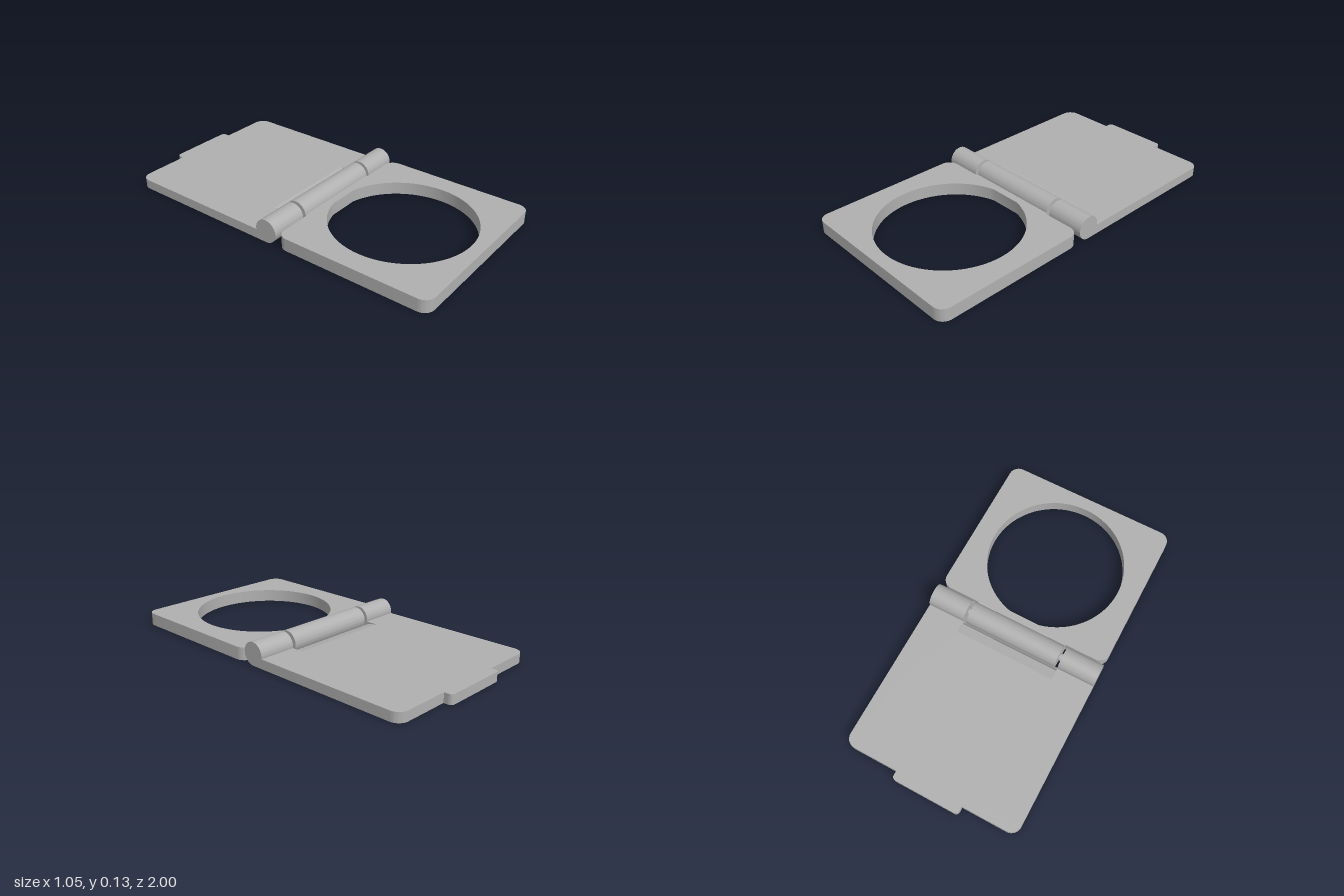
import * as THREE from 'three';
import { toCreasedNormals } from 'three/addons/utils/BufferGeometryUtils.js';

const W = 0.523;          // half width of both plates
const R = 0.0665;         // hinge barrel radius
const AXIS_Z = 0.025;     // hinge axis depth
const KNUCKLE = 0.28;     // half length of the middle knuckle
const NOTCH = 0.3;        // half width of the notch in the rear plate
const FRONT_H = 0.073;
const REAR_H = 0.055;

// Closed outline from [x, z, cornerRadius] points, drawn in the ground plane
function outline(points) {
  const shape = new THREE.Shape();
  const v = points.map(([x, z]) => new THREE.Vector2(x, -z));
  const n = v.length;
  points.forEach(([, , r = 0], i) => {
    const p = v[i];
    if (r === 0) {
      if (i === 0) shape.moveTo(p.x, p.y); else shape.lineTo(p.x, p.y);
      return;
    }
    const toPrev = v[(i + n - 1) % n].clone().sub(p).normalize();
    const toNext = v[(i + 1) % n].clone().sub(p).normalize();
    const a = p.clone().addScaledVector(toPrev, r);
    const c = p.clone().addScaledVector(toPrev, r).addScaledVector(toNext, r);
    const b = p.clone().addScaledVector(toNext, r);
    if (i === 0) shape.moveTo(a.x, a.y); else shape.lineTo(a.x, a.y);
    const start = Math.atan2(a.y - c.y, a.x - c.x);
    const end = Math.atan2(b.y - c.y, b.x - c.x);
    const clockwise = toPrev.cross(toNext) > 0;
    shape.absarc(c.x, c.y, r, start, end, clockwise);
  });
  shape.closePath();
  return shape;
}

function extrude(shape, depth) {
  return new THREE.ExtrudeGeometry(shape, { depth, bevelEnabled: false, curveSegments: 48 });
}

export function createModel() {
  const model = new THREE.Group();
  model.name = 'hingedPlates';
  const grey = new THREE.MeshStandardMaterial({ color: 0xb0b0b0 });
  grey.name = 'plain grey';

  function add(name, geometry, parent = model) {
    const mesh = new THREE.Mesh(toCreasedNormals(geometry, 0.5), grey);
    mesh.name = name;
    parent.add(mesh);
    return mesh;
  }

  // Barrel section along x between two positions
  function barrel(name, x0, x1, radius, parent) {
    const g = new THREE.CylinderGeometry(radius, radius, x1 - x0, 64);
    g.rotateZ(Math.PI / 2).translate((x0 + x1) / 2, R, AXIS_Z);
    return add(name, g, parent);
  }

  const frontLeaf = new THREE.Group();
  frontLeaf.name = 'frontLeaf';
  const rearLeaf = new THREE.Group();
  rearLeaf.name = 'rearLeaf';
  model.add(frontLeaf, rearLeaf);

  // Front plate, with the web reaching under the middle knuckle
  const front = outline([
    [-W, 1, 0.06], [W, 1, 0.06], [W, 0.1, 0.06], [KNUCKLE, 0.1],
    [KNUCKLE, AXIS_Z], [-KNUCKLE, AXIS_Z], [-KNUCKLE, 0.1], [-W, 0.1, 0.06],
  ]);
  // Round opening with a flat at the hinge side
  const holeR = 0.402, holeZ = 0.526, flatZ = 0.135;
  const flatAngle = Math.asin((holeZ - flatZ) / holeR);
  const hole = new THREE.Path();
  hole.absarc(0, -holeZ, holeR, Math.PI - flatAngle, Math.PI * 2 + flatAngle, false);
  hole.closePath();
  front.holes.push(hole);
  add('frontPlate', extrude(front, FRONT_H).rotateX(-Math.PI / 2), frontLeaf);
  barrel('middleKnuckle', -KNUCKLE, KNUCKLE, R, frontLeaf);

  // Rear plate with its finger tab, notched around the middle knuckle
  const notchZ = -0.112, backZ = -0.953;
  const rear = outline([
    [-W, AXIS_Z], [-NOTCH, AXIS_Z], [-NOTCH, notchZ], [NOTCH, notchZ],
    [NOTCH, AXIS_Z], [W, AXIS_Z], [W, backZ, 0.06], [0.2, backZ],
    [0.2, -1, 0.022], [-0.2, -1, 0.022], [-0.2, backZ], [-W, backZ, 0.06],
  ]);
  add('rearPlate', extrude(rear, REAR_H).rotateX(-Math.PI / 2), rearLeaf);

  // Sloped lip in the notch, hollowed to clear the knuckle
  const clear = 0.08, lipY = 0.043;
  const lip = new THREE.Shape();
  lip.moveTo(-notchZ, 0);
  lip.lineTo(-notchZ, REAR_H);
  for (let i = 0; i <= 8; i++) {
    const y = lipY * (1 - i / 8);
    lip.lineTo(-AXIS_Z + Math.sqrt(clear * clear - (R - y) ** 2), y);
  }
  lip.closePath();
  add('notchLip', extrude(lip, NOTCH * 2).rotateY(Math.PI / 2).translate(-NOTCH, 0, 0), rearLeaf);

  // Outer knuckles and the pin through them all
  barrel('rightKnuckle', -W, -NOTCH, R, rearLeaf);
  barrel('leftKnuckle', NOTCH, W, R, rearLeaf);
  barrel('hingePin', -NOTCH - 0.01, NOTCH + 0.01, 0.023, model);

  return model;
}
